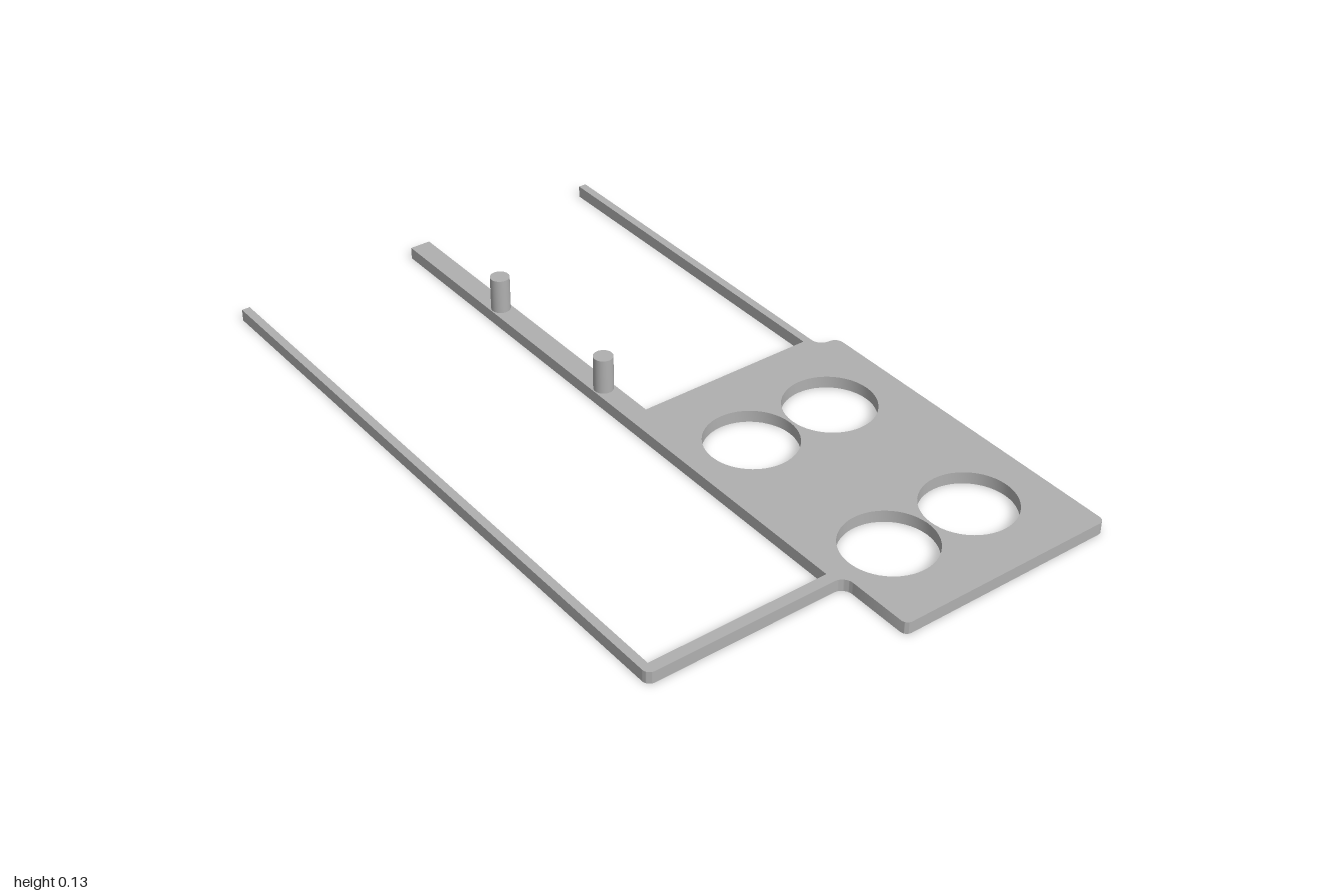
import * as THREE from 'three';
import { toCreasedNormals } from 'three/addons/utils/BufferGeometryUtils.js';

const THICK = 0.033;

// Outline from [x, z, cornerRadius] points, drawn in the plane with z pointing down
function roundedOutline(points) {
  const shape = new THREE.Shape();
  const n = points.length;
  const at = (i) => new THREE.Vector2(points[i % n][0], -points[i % n][1]);
  points.forEach(([, , r = 0], i) => {
    const corner = at(i);
    const toward = (q) => corner.clone().add(q.sub(corner).setLength(r));
    const start = r ? toward(at(i + n - 1)) : corner;
    if (i === 0) shape.moveTo(start.x, start.y);
    else shape.lineTo(start.x, start.y);
    if (r) {
      const end = toward(at(i + 1));
      // Control handles of a quarter circle
      const a = start.clone().lerp(corner, 0.5523);
      const b = end.clone().lerp(corner, 0.5523);
      shape.bezierCurveTo(a.x, a.y, b.x, b.y, end.x, end.y);
    }
  });
  shape.closePath();
  return shape;
}

export function createModel() {
  const group = new THREE.Group();
  group.name = 'bracketPlate';
  const grey = new THREE.MeshStandardMaterial({ color: 0xb0b0b0 });
  grey.name = 'grey';

  // One flat sheet: panel, middle bar, back rail, and front rail with its arm
  const outline = roundedOutline([
    [-1, 0.583], [0.79, 0.583, 0.02],
    [0.79, 0.03, 0.03], [0.998, 0.03, 0.018],
    [0.998, -0.588, 0.018], [0.04, -0.588, 0.025],
    [0.04, -0.53, 0.032], [-1, -0.53],
    [-1, -0.508], [0.002, -0.508],
    [0.002, 0], [-1, 0],
    [-1, 0.058], [0.76, 0.058],
    [0.76, 0.56], [-1, 0.56],
  ]);

  // Four round openings in the panel
  for (const x of [0.257, 0.76]) {
    for (const z of [-0.38, -0.13]) {
      outline.holes.push(new THREE.Path().absarc(x, -z, 0.121, 0, Math.PI * 2, true));
    }
  }

  const sheet = new THREE.ExtrudeGeometry(outline, {
    depth: THICK, bevelEnabled: false, curveSegments: 24,
  });
  sheet.rotateX(-Math.PI / 2);
  const plate = new THREE.Mesh(toCreasedNormals(sheet, 0.6), grey);
  plate.name = 'plate';
  group.add(plate);

  // Upright pegs on the middle bar
  const pegHeight = 0.13 - THICK;
  for (const x of [-0.6, -0.137]) {
    const peg = new THREE.Mesh(new THREE.CylinderGeometry(0.026, 0.026, pegHeight, 32), grey);
    peg.position.set(x, THICK + pegHeight / 2, 0.029);
    peg.name = 'peg';
    group.add(peg);
  }
  return group;
}
